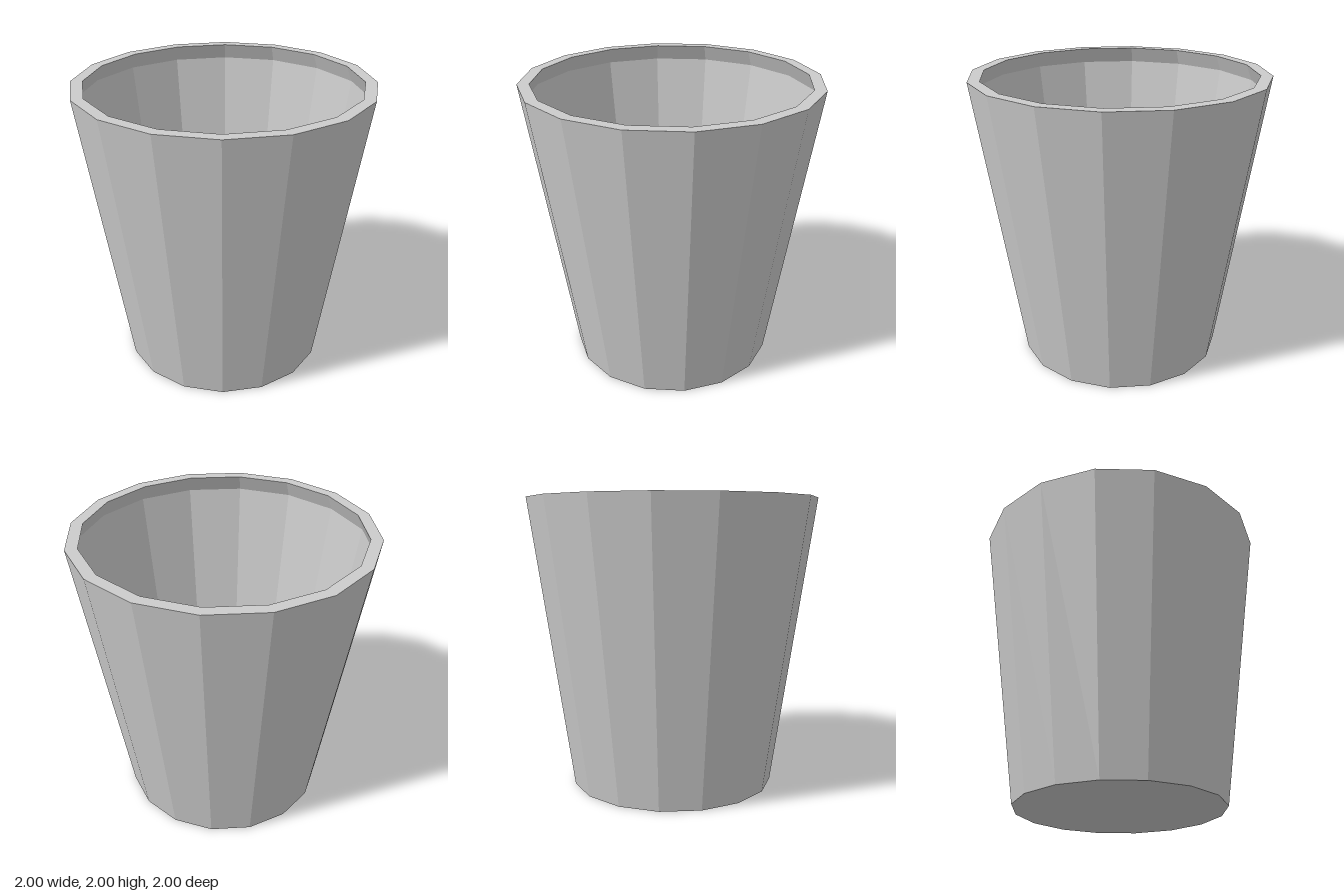
import * as THREE from 'three';

const SIDES = 16;
const material = new THREE.MeshStandardMaterial({ color: 0xcccccc, flatShading: true });

// Faceted ring surface turned from a [radius, height] profile
function turned(name, profile) {
  const points = profile.map(([r, y]) => new THREE.Vector2(r, y));
  const mesh = new THREE.Mesh(new THREE.LatheGeometry(points, SIDES), material);
  mesh.name = name;
  return mesh;
}

export function createModel() {
  const group = new THREE.Group();
  group.name = 'taperedBin';
  group.add(
    // closed base and flaring outside
    turned('base', [[0, 0], [0.71, 0]]),
    turned('outerWall', [[0.71, 0], [1, 2]]),
    // flat rim with an undercut inner lip
    turned('rim', [[1, 2], [0.92, 2], [0.965, 1.89]]),
    // inside wall and raised floor
    turned('innerWall', [[0.965, 1.89], [0.73, 0.28]]),
    turned('innerFloor', [[0.73, 0.28], [0, 0.28]])
  );
  return group;
}
